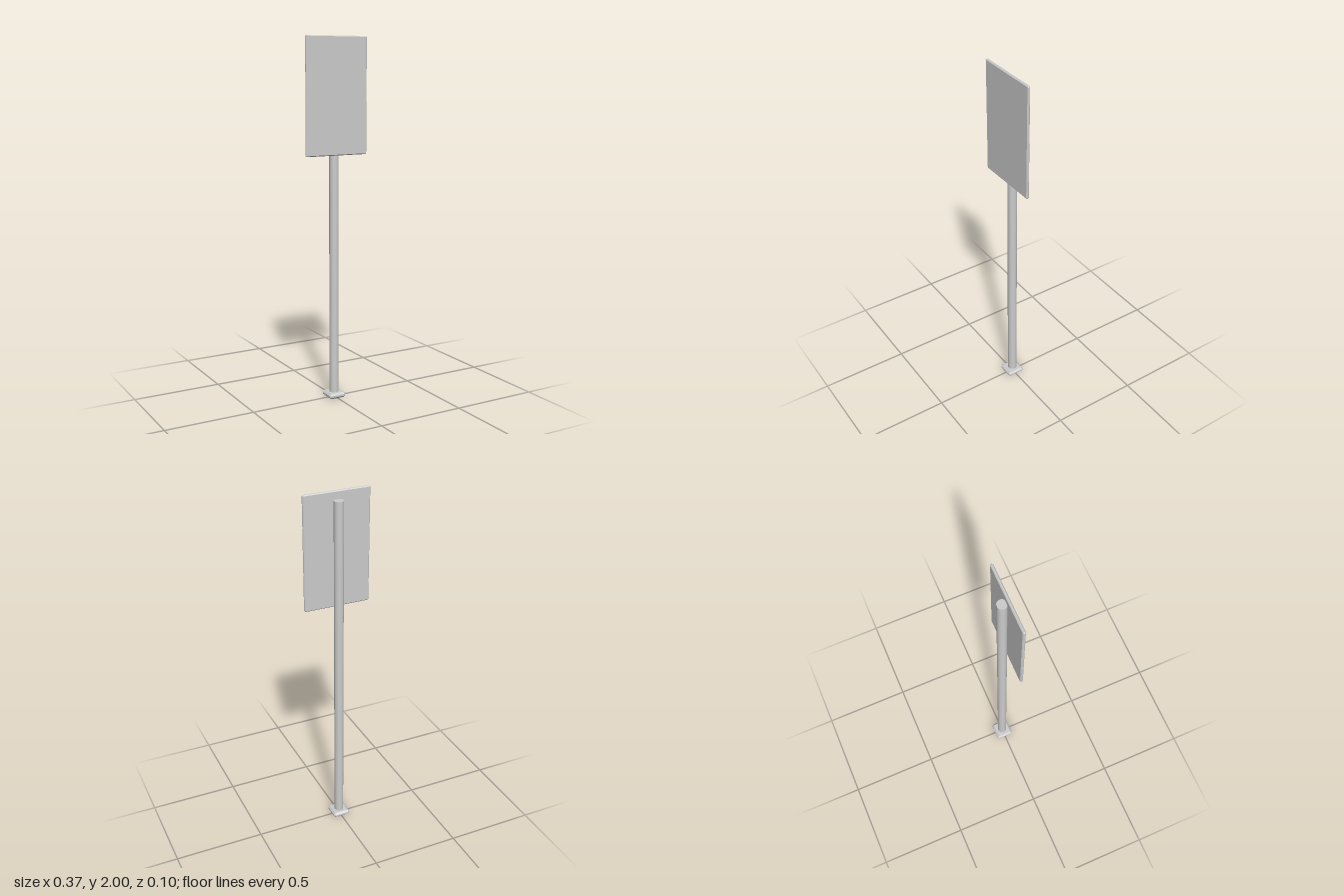
import * as THREE from 'three';
import { ConvexGeometry } from 'three/addons/geometries/ConvexGeometry.js';

const material = new THREE.MeshStandardMaterial({ color: 0xcccccc });

// Box with every edge and corner cut by a flat chamfer
function chamferedBox(width, height, depth, bevel) {
  const half = [width / 2, height / 2, depth / 2];
  const points = [];
  for (const sx of [-1, 1]) for (const sy of [-1, 1]) for (const sz of [-1, 1]) {
    for (let full = 0; full < 3; full++) {
      const c = half.map((h, axis) => (axis === full ? h : h - bevel));
      points.push(new THREE.Vector3(sx * c[0], sy * c[1], sz * c[2]));
    }
  }
  return new ConvexGeometry(points);
}

function addPart(group, name, geometry, y, z) {
  const mesh = new THREE.Mesh(geometry, material);
  mesh.name = name;
  mesh.position.set(0, y, z);
  group.add(mesh);
}

export function createModel() {
  const group = new THREE.Group();
  group.name = 'signPost';

  // Square foot on the ground
  addPart(group, 'base', chamferedBox(0.1, 0.03, 0.1, 0.01), 0.015, 0);

  // Round pole, ending just below the top of the panel
  const poleBottom = 0.01, poleTop = 1.955;
  const pole = new THREE.CylinderGeometry(0.026, 0.026, poleTop - poleBottom, 32);
  addPart(group, 'pole', pole, (poleBottom + poleTop) / 2, -0.001);

  // Blank sign panel mounted on the front of the pole
  const panelBottom = 1.366, panelTop = 2;
  const panel = chamferedBox(0.372, panelTop - panelBottom, 0.016, 0.005);
  addPart(group, 'panel', panel, (panelBottom + panelTop) / 2, 0.027);

  return group;
}
